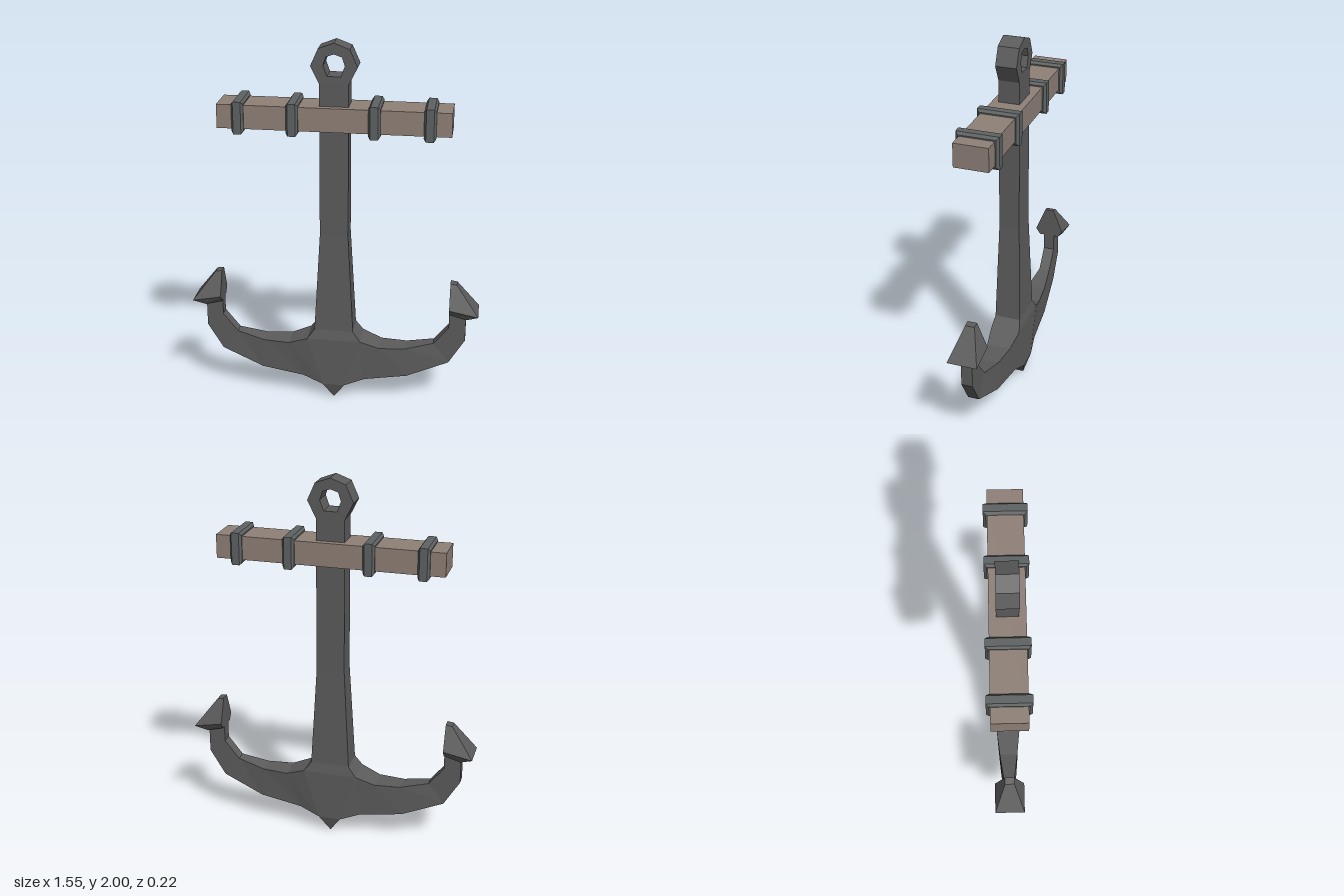
import * as THREE from 'three';

const iron = new THREE.MeshStandardMaterial({ color: 0x5c5c5c, flatShading: true });
const bandIron = new THREE.MeshStandardMaterial({ color: 0x5e6262, flatShading: true });
const wood = new THREE.MeshStandardMaterial({ color: 0x8f8077, flatShading: true });

// Skins rectangular sections [ax, ay, bx, by, halfDepth]; a lies left of the direction of travel.
function loft(sections, capStart, capEnd) {
  const pos = [];
  const rings = sections.map(([ax, ay, bx, by, d]) => [[ax, ay, d], [bx, by, d], [bx, by, -d], [ax, ay, -d]]);
  const quad = (a, b, c, d) => pos.push(...a, ...b, ...c, ...a, ...c, ...d);
  for (let s = 0; s < rings.length - 1; s++) {
    const p = rings[s], q = rings[s + 1];
    for (let i = 0; i < 4; i++) {
      const j = (i + 1) % 4;
      quad(p[i], p[j], q[j], q[i]);
    }
  }
  const first = rings[0], last = rings[rings.length - 1];
  if (capStart) quad(first[3], first[2], first[1], first[0]);
  if (capEnd) quad(...last);
  const geo = new THREE.BufferGeometry();
  geo.setAttribute('position', new THREE.Float32BufferAttribute(pos, 3));
  geo.computeVertexNormals();
  return geo;
}

// Mirrors sections to the other side, swapping ends to keep faces outward.
const mirror = (sections) => sections.map(([ax, ay, bx, by, d]) => [-bx, by, -ax, ay, d]);

export function createModel() {
  const model = new THREE.Group();
  model.name = 'anchor';
  const add = (name, geo, mat) => {
    const mesh = new THREE.Mesh(geo, mat);
    mesh.name = name;
    model.add(mesh);
    return mesh;
  };

  // Shank with the pointed crown at its foot: [halfWidth, y, halfDepth]
  const shank = [
    [0, 0.003, 0.055], [0.06, 0.09, 0.08], [0.145, 0.365, 0.08],
    [0.105, 0.42, 0.07], [0.075, 0.97, 0.055], [0.075, 1.79, 0.055],
  ].map(([w, y, d]) => [-w, y, w, y, d]);
  add('shank', loft(shank, true, false), iron);

  // Eye at the top of the shank
  const toPoints = (half) => [...half, ...half.filter(([x]) => x > 0).reverse().map(([x, y]) => [-x, y])]
    .map(([x, y]) => new THREE.Vector2(x, y));
  const eye = new THREE.Shape(toPoints([[0.075, 1.79], [0.12, 1.88], [0.08, 1.97], [0, 2]]));
  eye.holes.push(new THREE.Path(toPoints([[0.035, 1.83], [0.055, 1.885], [0.04, 1.93], [0, 1.943]])));
  const eyeGeo = new THREE.ExtrudeGeometry(eye, { depth: 0.11, bevelEnabled: false });
  add('eye', eyeGeo.translate(0, 0, -0.055), iron);

  // Curved arms (inner edge, outer edge, half depth) and their flukes
  const arm = [
    [0.145, 0.365, 0.06, 0.09, 0.08],
    [0.25, 0.325, 0.17, 0.13, 0.065],
    [0.39, 0.325, 0.40, 0.16, 0.05],
    [0.54, 0.36, 0.625, 0.25, 0.03],
    [0.62, 0.46, 0.71, 0.39, 0.03],
    [0.62, 0.57, 0.71, 0.55, 0.03],
  ];
  const fluke = [
    [0.62, 0.55, 0.71, 0.525, 0.055],
    [0.62, 0.585, 0.775, 0.555, 0.08],
    [0.62, 0.718, 0.655, 0.713, 0.025],
  ];
  add('leftArm', loft(arm, false, true), iron);
  add('rightArm', loft(mirror(arm), false, true), iron);
  add('leftFluke', loft(fluke, true, true), iron);
  add('rightFluke', loft(mirror(fluke), true, true), iron);

  // Wooden stock
  add('stock', new THREE.BoxGeometry(1.2, 0.125, 0.18), wood).position.y = 1.612;

  // Chamfered iron bands round the stock
  const b = 0.014;
  const w = 0.11 - b, h = 0.085 - b;
  const outline = new THREE.Shape([[-w, -h], [w, -h], [w, h], [-w, h]].map(([x, y]) => new THREE.Vector2(x, y)));
  const bandGeo = new THREE.ExtrudeGeometry(outline, {
    depth: 0.04, bevelEnabled: true, bevelSegments: 1, bevelSize: b, bevelThickness: 0.011,
  });
  bandGeo.translate(0, 0, -0.02).rotateY(Math.PI / 2);
  for (const x of [-0.49, -0.21, 0.21, 0.49]) {
    add('stockBand', bandGeo, bandIron).position.set(x, 1.61, 0);
  }

  return model;
}
